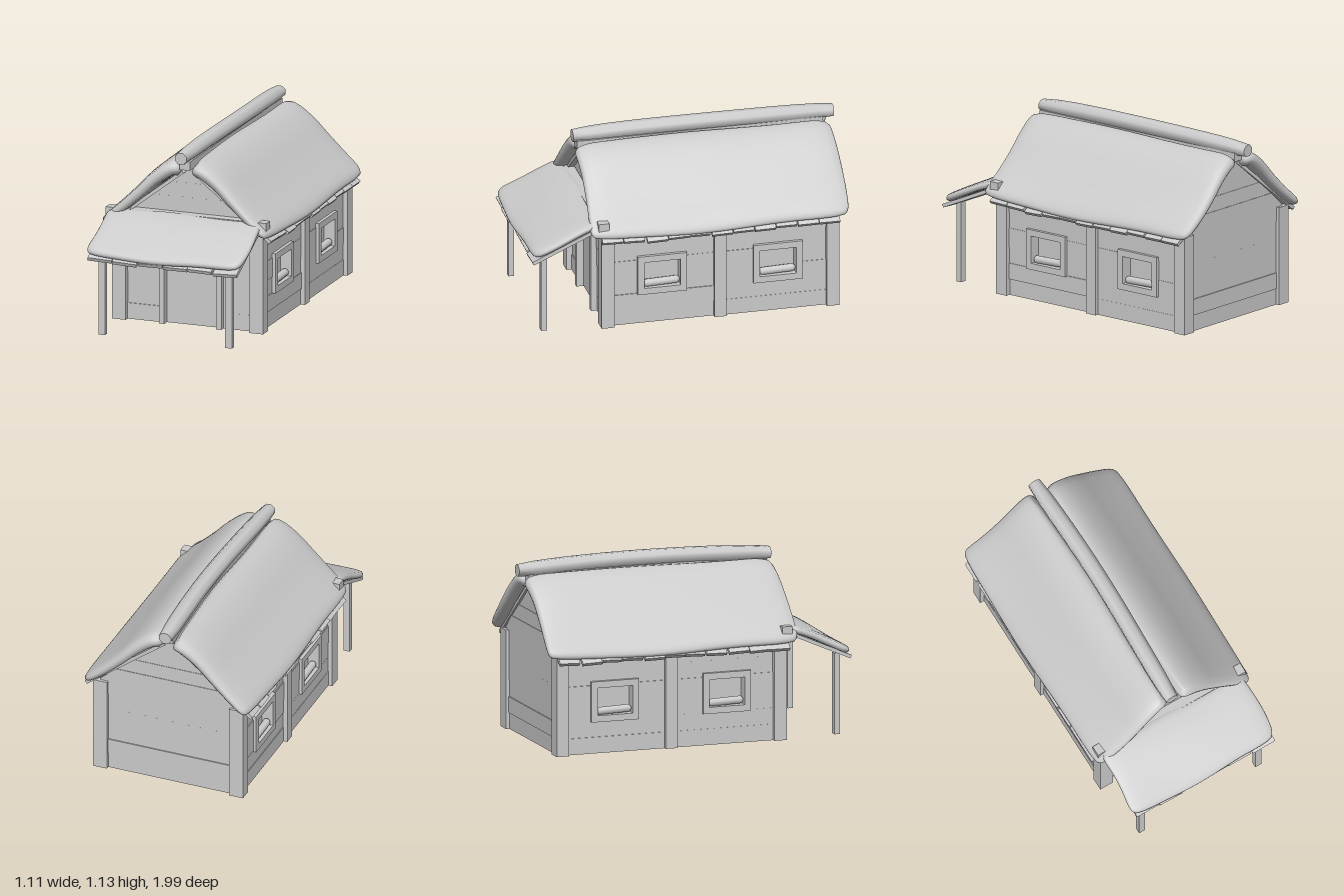
import * as THREE from 'three';
import { mergeVertices } from 'three/addons/utils/BufferGeometryUtils.js';

const material = new THREE.MeshStandardMaterial({ color: 0xcccccc });

let seed = 7;
const jitter = (a) => {
  seed = (seed * 16807) % 2147483647;
  return a * (2 * seed / 2147483647 - 1);
};

function add(parent, name, geometry, x = 0, y = 0, z = 0) {
  const mesh = new THREE.Mesh(geometry, material);
  mesh.name = name;
  mesh.position.set(x, y, z);
  parent.add(mesh);
  return mesh;
}

// Box given by its lower and upper corners
function block(parent, name, x0, x1, y0, y1, z0, z1) {
  return add(parent, name, new THREE.BoxGeometry(x1 - x0, y1 - y0, z1 - z0),
    (x0 + x1) / 2, (y0 + y1) / 2, (z0 + z1) / 2);
}

function group(parent, name, x = 0, y = 0, z = 0, turn = 0) {
  const g = new THREE.Group();
  g.name = name;
  g.position.set(x, y, z);
  g.rotation.y = turn;
  parent.add(g);
  return g;
}

// Weld a deformed geometry so it shades smoothly
function smooth(geometry) {
  geometry.deleteAttribute('uv');
  geometry.deleteAttribute('normal');
  const g = mergeVertices(geometry, 1e-5);
  g.computeVertexNormals();
  return g;
}

// Soft thatch slab: follows a path in x/y, runs along z, thins towards the
// eave by the given amount, with rounded, slightly uneven rims
function thatch(points, length, half, thinning, wave) {
  const path = new THREE.CatmullRomCurve3(points.map(([x, y]) => new THREE.Vector3(x, y, 0)));
  const g = new THREE.BoxGeometry(1, 2, 2, 20, 4, 36);
  const p = g.attributes.position;
  for (let i = 0; i < p.count; i++) {
    const u = p.getX(i) + 0.5, v = p.getY(i), w = p.getZ(i), e = 2 * u - 1;
    const c = path.getPoint(u), t = path.getTangent(u);
    const rim = Math.max(Math.abs(e), Math.abs(w));
    const thick = half * (1 + thinning * (0.5 - u));
    const h = thick * v * (1 - 0.3 * rim ** 12) + wave * 0.4 * Math.sin(3 * w + 4 * u);
    const slide = e ** 3 * (wave * Math.sin(4.3 * w + 1) - thick * 0.4 * v * v - 0.02 * w ** 10);
    const end = length / 2 + wave * Math.sin(6 * u + 2 * w) - thick * 0.4 * v * v - 0.025 * e ** 8;
    p.setXYZ(i, c.x - t.y * h + t.x * slide, c.y + t.x * h + t.y * slide, w * end);
  }
  return smooth(g);
}

// Row of planks below a thatch slab, sloping from (x0,y0) to (x1,y1)
function planks(parent, name, x0, y0, x1, y1, length, count) {
  const run = Math.hypot(x1 - x0, y1 - y0), step = length / count;
  for (let i = 0; i < count; i++) {
    const m = add(parent, name, new THREE.BoxGeometry(run + jitter(0.012), 0.022, step - 0.006),
      (x0 + x1) / 2, (y0 + y1) / 2 + jitter(0.004), -length / 2 + (i + 0.5) * step);
    m.rotation.set(jitter(0.04), 0, Math.atan2(y1 - y0, x1 - x0));
  }
}

// One wall board facing +z; the top edge may be narrower than the bottom
function board(parent, y0, y1, a0, a1, b0 = a0, b1 = a1) {
  const s = new THREE.Shape([[a0, y0], [a1, y0], [b1, y1], [b0, y1]]
    .map(([x, y]) => new THREE.Vector2(x, y)));
  add(parent, 'wallBoard', new THREE.ExtrudeGeometry(s, { depth: 0.025 + jitter(0.004), bevelEnabled: false }), 0, 0, -0.025);
}

const ROWS = [0, 0.1, 0.2, 0.3, 0.42, 0.52, 0.62];

// Long wall: boards, two framed windows and sill rolls
function sideWall(parent, name, x, turn) {
  const wall = group(parent, name, x, 0, -0.18, turn);
  for (const c of [-0.36, 0.36]) {
    for (let r = 0; r < 6; r++) {
      const y0 = ROWS[r], y1 = ROWS[r + 1];
      if (r === 2 || r === 3) {
        board(wall, y0, y1, c - 0.34, c - 0.12);
        board(wall, y0, y1, c + 0.12, c + 0.34);
      } else board(wall, y0, y1, c - 0.34, c + 0.34);
    }
    const win = group(wall, 'window', c, 0.315, 0);
    for (const s of [-1, 1]) {
      add(win, 'windowFrameSide', new THREE.BoxGeometry(0.04, 0.17, 0.08), s * 0.133, 0.005, -0.02);
      add(win, 'windowFrameRail', new THREE.BoxGeometry(0.306, 0.04, 0.08), 0, s * 0.105 + 0.005, -0.02);
    }
    const roll = add(win, 'windowSillRoll', new THREE.CapsuleGeometry(0.024, 0.18, 4, 10), 0, -0.056, -0.015);
    roll.rotation.z = Math.PI / 2 + 0.03;
  }
  block(wall, 'middlePost', -0.037, 0.037, 0, 0.6, -0.05, 0.025);
}

// Gable wall; the front one leaves room for the door
function gableWall(parent, name, z, turn, hasDoor) {
  const wall = group(parent, name, 0, 0, z, turn);
  const half = (y) => Math.min(0.45, Math.max(0.01, (1.0 - y) / 0.83));
  const rows = [...ROWS, 0.71, 0.8, 0.89, 0.99];
  for (let r = 0; r < rows.length - 1; r++) {
    const y0 = rows[r], y1 = rows[r + 1], a = half(y0), b = half(y1);
    if (hasDoor && r < 5) {
      board(wall, y0, y1, -a, -0.17);
      board(wall, y0, y1, 0.2, a);
    } else board(wall, y0, y1, -a, a, -b, b);
  }
  if (hasDoor) {
    block(wall, 'door', -0.15, 0.185, 0, 0.52, -0.03, -0.01);
    block(wall, 'doorPostRight', -0.185, -0.15, 0, 0.54, -0.035, 0.035);
    block(wall, 'doorPostLeft', 0.185, 0.22, 0, 0.54, -0.035, 0.035);
  }
}

export function createModel() {
  const house = new THREE.Group();
  house.name = 'cottage';

  // Walls and corner posts
  sideWall(house, 'leftWall', 0.462, Math.PI / 2);
  sideWall(house, 'rightWall', -0.462, -Math.PI / 2);
  gableWall(house, 'frontWall', 0.525, 0, true);
  gableWall(house, 'backWall', -0.9, Math.PI, false);
  for (const s of [-1, 1]) {
    const x0 = s > 0 ? 0.4 : -0.49;
    block(house, 'frontCornerPost', x0, x0 + 0.09, 0, 0.61, 0.48, 0.56);
    block(house, 'backCornerPost', x0, x0 + 0.09, 0, 0.61, -0.92, -0.84);
  }

  // Interior: partition, ceiling and a boxed bay between facing windows
  block(house, 'partition', -0.44, 0.44, 0, 0.58, -0.19, -0.17);
  block(house, 'ceiling', -0.44, 0.44, 0.57, 0.59, -0.88, 0.5);
  for (const z of [0.18, -0.54]) block(house, 'windowBay', -0.41, 0.41, 0.19, 0.44, z - 0.153, z + 0.153);

  // Main roof: two thatch slopes over planks
  const slope = [[0.02, 0.988], [0.1, 0.985], [0.2, 0.92], [0.3, 0.822], [0.4, 0.728], [0.49, 0.65], [0.543, 0.6]];
  for (const s of [1, -1]) {
    const side = group(house, s > 0 ? 'leftRoof' : 'rightRoof', 0, 0, -0.175, s > 0 ? 0 : Math.PI);
    add(side, 'roofThatch', thatch(slope, 1.6, 0.043, 0.8, 0.008));
    planks(side, 'roofPlank', 0.03, 0.97, 0.543, 0.573, 1.48, 11);
  }

  // Ridge log with a gentle arch and slimmer ends, on a square pole
  const log = new THREE.CylinderGeometry(0.056, 0.056, 1.62, 8, 14);
  log.rotateY(Math.PI / 8);
  log.rotateX(Math.PI / 2);
  const p = log.attributes.position;
  for (let i = 0; i < p.count; i++) {
    const z = p.getZ(i), slim = 1 - 0.22 * (z / 0.81) ** 8;
    p.setX(i, p.getX(i) * 0.95 * slim + 0.012 * Math.sin(3 * z + 2) - 0.008);
    p.setY(i, p.getY(i) * 0.87 * slim + 0.02 * (1 - (z / 0.81) ** 2));
  }
  log.computeVertexNormals();
  add(house, 'ridgeLog', log, 0, 1.064, -0.19);
  block(house, 'ridgePole', -0.035, 0.032, 0.99, 1.045, -0.93, 0.6);

  // Porch: cross beam, two posts, thatch over planks
  block(house, 'porchBeam', -0.52, 0.52, 0.65, 0.705, 0.52, 0.585);
  block(house, 'porchPostRight', -0.435, -0.393, 0, 0.5, 0.887, 0.922);
  block(house, 'porchPostLeft', 0.385, 0.43, 0, 0.5, 0.887, 0.922);
  const porch = group(house, 'porchRoof', 0, 0, 0, -Math.PI / 2);
  add(porch, 'porchThatch', thatch([[0.56, 0.69], [0.7, 0.645], [0.85, 0.575], [0.985, 0.505]], 1.0, 0.027, 0, 0.007));
  planks(porch, 'porchPlank', 0.57, 0.655, 0.98, 0.475, 0.97, 6);
  return house;
}
